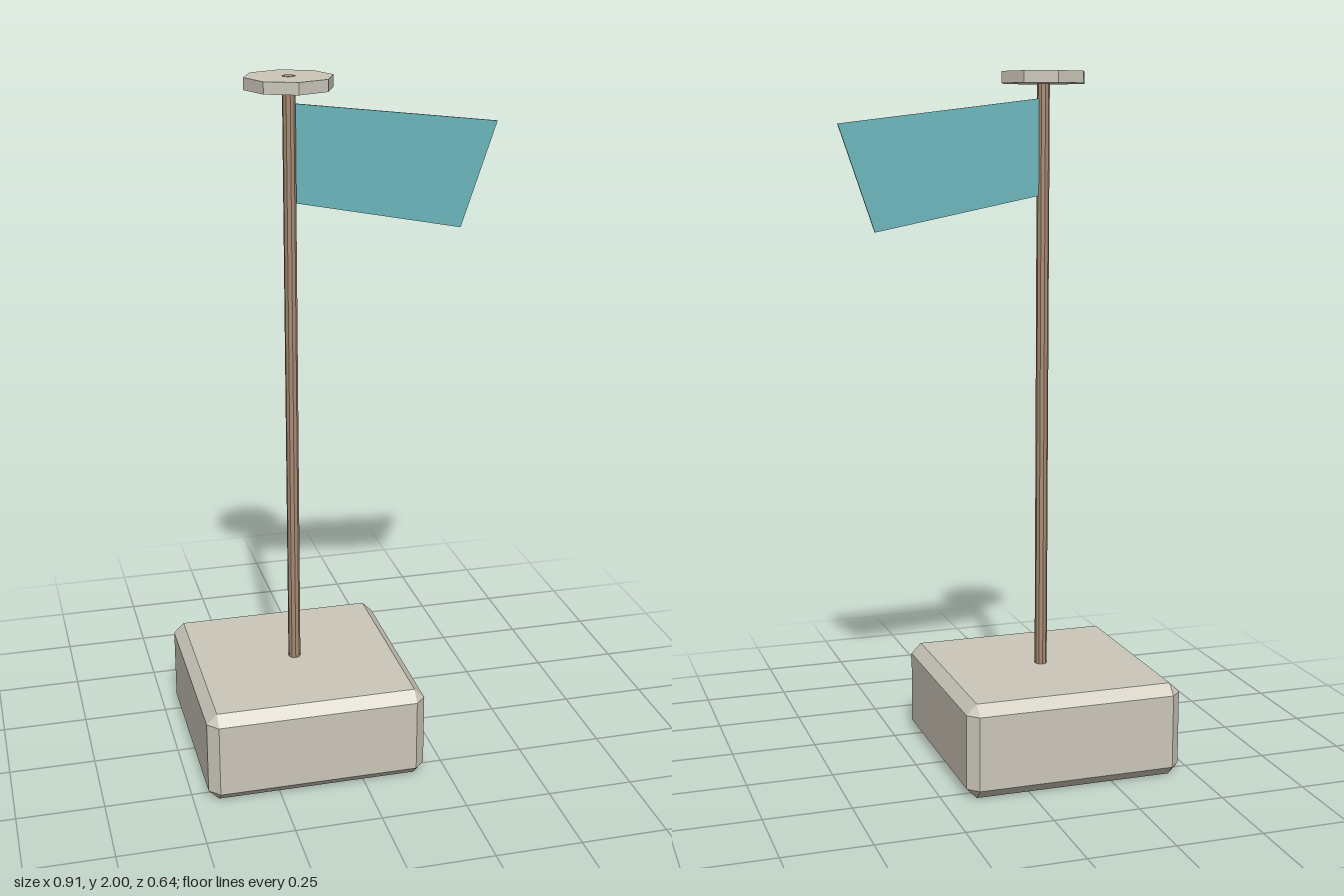
import * as THREE from 'three';
import { ConvexGeometry } from 'three/addons/geometries/ConvexGeometry.js';

const POLE_X = -0.137;

// Box standing on y = 0 with every edge and corner cut off
function chamferedBox(w, h, d, c) {
  const points = [];
  for (const sx of [-1, 1]) for (const sy of [-1, 1]) for (const sz of [-1, 1]) {
    for (let axis = 0; axis < 3; axis++) {
      const cut = [c, c, c];
      cut[axis] = 0;
      points.push(new THREE.Vector3(
        sx * (w / 2 - cut[0]), h / 2 + sy * (h / 2 - cut[1]), sz * (d / 2 - cut[2])));
    }
  }
  return new ConvexGeometry(points);
}

export function createModel() {
  const stone = new THREE.MeshStandardMaterial({ color: 0xcbc6b9, flatShading: true });
  stone.name = 'stone';
  const wood = new THREE.MeshStandardMaterial({ color: 0xa88b73, flatShading: true });
  wood.name = 'wood';
  const cloth = new THREE.MeshStandardMaterial({ color: 0x69b5ba, flatShading: true });
  cloth.name = 'teal cloth';

  const model = new THREE.Group();
  model.name = 'flagOnBase';
  const add = (name, geometry, material, x, y, z) => {
    const mesh = new THREE.Mesh(geometry, material);
    mesh.name = name;
    mesh.position.set(x, y, z);
    model.add(mesh);
  };

  // Heavy base block
  add('base', chamferedBox(0.64, 0.275, 0.64, 0.03), stone, POLE_X, 0, 0);

  // Pole, its end just showing through the cap
  const poleBottom = 0.26, poleTop = 2;
  add('pole', new THREE.CylinderGeometry(0.018, 0.018, poleTop - poleBottom, 10), wood,
    POLE_X, (poleTop + poleBottom) / 2, 0);

  // Eight-sided cap with corners on the x and z axes
  add('cap', new THREE.CylinderGeometry(0.123, 0.123, 0.033, 8), stone, POLE_X, 1.9825, 0);

  // Slanted pennant, thin and slightly behind the pole's axis
  const outline = [[-0.125, 1.655], [0.355, 1.56], [0.455, 1.855], [-0.125, 1.925]]
    .map(([x, y]) => new THREE.Vector2(x, y));
  add('flag', new THREE.ExtrudeGeometry(new THREE.Shape(outline), { depth: 0.006, bevelEnabled: false }),
    cloth, 0, 0, -0.008);

  return model;
}
